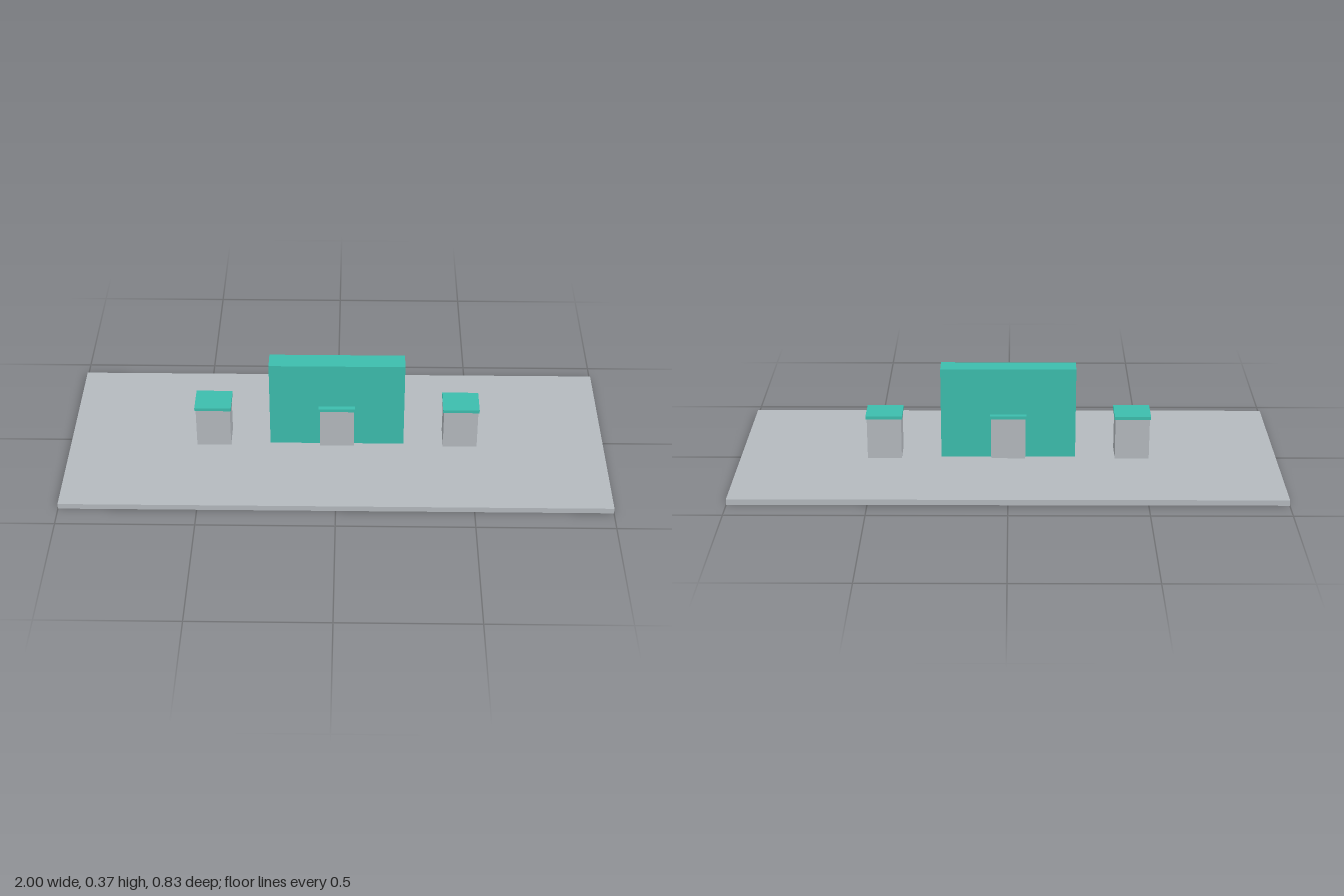
import * as THREE from 'three';

export function createModel() {
  const model = new THREE.Group();
  const stone = new THREE.MeshStandardMaterial({ color: 0xb4b9be });
  stone.name = 'grey stone';
  const teal = new THREE.MeshStandardMaterial({ color: 0x3cbdad });
  teal.name = 'teal paint';

  // Box of the given size, standing on height y
  function block(name, material, w, h, d, x, y, parent = model) {
    const mesh = new THREE.Mesh(new THREE.BoxGeometry(w, h, d), material);
    mesh.name = name;
    mesh.position.set(x, y + h / 2, 0);
    parent.add(mesh);
  }

  // Ground slab and the tall central panel set into it
  block('baseSlab', stone, 2, 0.021, 0.83, 0, 0);
  block('centralPanel', teal, 0.5, 0.36, 0.075, 0, 0.01);

  // Three capped pillars; the middle one passes through the panel
  for (const [name, x] of [['rightPillar', -0.461], ['middlePillar', 0], ['leftPillar', 0.461]]) {
    const pillar = new THREE.Group();
    pillar.name = name;
    pillar.position.x = x;
    block('pillarShaft', stone, 0.127, 0.169, 0.106, 0, 0.01, pillar);
    block('pillarCap', teal, 0.135, 0.012, 0.114, 0, 0.179, pillar);
    model.add(pillar);
  }
  return model;
}
